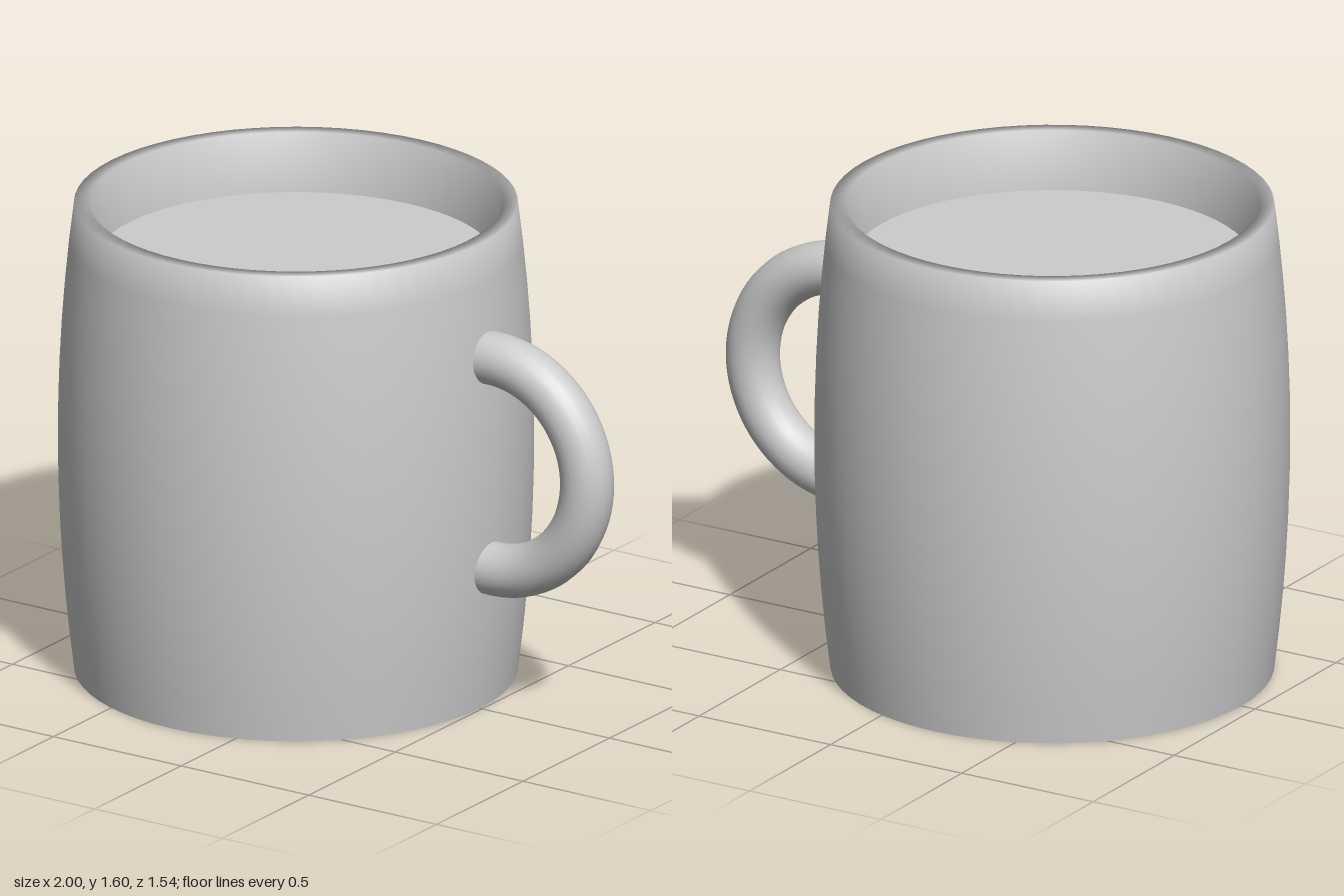
import * as THREE from 'three';

const HEIGHT = 1.6, RIM = 0.72, BULGE = 0.052, CENTRE_X = -0.228, SIDES = 64;

export function createModel() {
  const group = new THREE.Group();
  const ceramic = new THREE.MeshStandardMaterial({ color: 0xcccccc });
  ceramic.name = 'grey ceramic';

  const add = (name, geometry, x, y) => {
    const mesh = new THREE.Mesh(geometry, ceramic);
    mesh.name = name;
    mesh.position.set(x, y, 0);
    group.add(mesh);
    return mesh;
  };

  // Barrel-shaped wall, over the lip and down the inside to the fill level
  const profile = [];
  const steps = 12;
  for (let i = 0; i <= steps; i++) {
    const t = i / steps;
    profile.push(new THREE.Vector2(RIM + BULGE * 4 * t * (1 - t), HEIGHT * t));
  }
  profile.push(new THREE.Vector2(0.67, HEIGHT), new THREE.Vector2(0.65, 1.4));
  add('body', new THREE.LatheGeometry(profile, SIDES), CENTRE_X, 0);

  // Flat discs: underside and drink surface
  add('base', new THREE.CircleGeometry(RIM, SIDES).rotateX(Math.PI / 2), CENTRE_X, 0);
  add('drink', new THREE.CircleGeometry(0.65, SIDES).rotateX(-Math.PI / 2), CENTRE_X, 1.4);

  // Half ring, with its ends running slightly into the wall
  const overlap = 0.2;
  const ring = new THREE.TorusGeometry(0.362, 0.088, 24, 48, Math.PI + 2 * overlap);
  ring.rotateZ(-Math.PI / 2 - overlap);
  add('handle', ring, 0.55, 0.855);

  return group;
}
